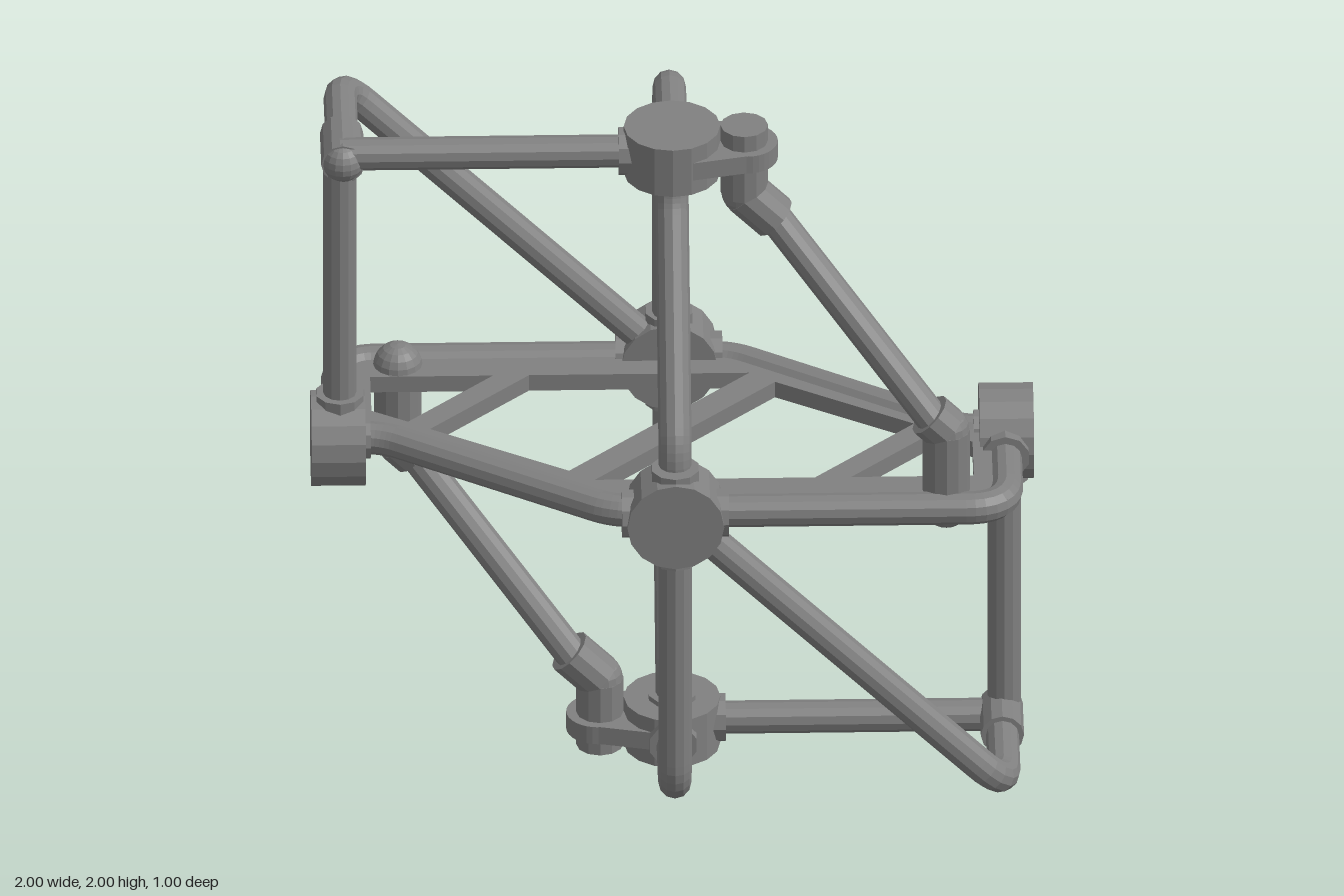
import * as THREE from 'three';

const mat = new THREE.MeshStandardMaterial({ color: 0x808080, flatShading: true });
const V = (x, y, z) => new THREE.Vector3(x, y, z);
const TUBE_R = 0.046;

// Polyline path whose inner corners are rounded off
function roundedPath(points, bend) {
  const path = new THREE.CurvePath();
  let start = points[0];
  for (let i = 1; i < points.length - 1; i++) {
    const p = points[i];
    const toward = (q) => p.clone().add(q.clone().sub(p).setLength(Math.min(bend, q.distanceTo(p) * 0.45)));
    const a = toward(points[i - 1]), b = toward(points[i + 1]);
    path.add(new THREE.LineCurve3(start, a));
    path.add(new THREE.QuadraticBezierCurve3(a, p, b));
    start = b;
  }
  path.add(new THREE.LineCurve3(start, points[points.length - 1]));
  return path;
}

export function createModel() {
  const root = new THREE.Group();
  root.name = 'model';
  const frame = new THREE.Group();
  frame.name = 'frame';
  frame.position.y = 1; // parts are laid out around the frame's centre
  root.add(frame);

  const add = (name, geometry) => {
    const mesh = new THREE.Mesh(geometry, mat);
    mesh.name = name;
    frame.add(mesh);
    return mesh;
  };
  // Straight cylinder between two points
  const rod = (name, a, b, r, sides = 12) => {
    const mesh = add(name, new THREE.CylinderGeometry(r, r, a.distanceTo(b), sides));
    mesh.position.copy(a).add(b).multiplyScalar(0.5);
    mesh.quaternion.setFromUnitVectors(V(0, 1, 0), b.clone().sub(a).normalize());
  };
  const ball = (name, p, r) => add(name, new THREE.SphereGeometry(r, 16, 10)).position.copy(p);
  const pipe = (name, points, bend = 0.09) =>
    add(name, new THREE.TubeGeometry(roundedPath(points, bend), points.length > 2 ? 56 : 1, TUBE_R, 12));

  // Everything exists twice, reflected through the centre
  for (const s of [1, -1]) {
    const P = (x, y, z) => V(s * x, s * y, s * z);

    // Hubs, with a socket wherever a tube arrives
    const hubs = [
      ['sideHub', P(1, 0, 0), 0.92, [P(0, -1, 0), P(0, 0, 1)]],
      ['endHub', P(0, 1, 0), 0.92, [P(-1, 0, 0), P(0, 0, -1)]],
      ['faceHub', P(0, 0, 1), 0.42, [P(1, 0, 0), P(-1, 0, 0), P(0, 1, 0), P(0, -1, 0)]],
    ];
    for (const [name, axis, d, arms] of hubs) {
      const c = axis.clone().multiplyScalar(d);
      rod(name, axis.clone().multiplyScalar(d - 0.07), axis.clone().multiplyScalar(d + 0.08), 0.134, 16);
      for (const arm of arms) rod(name + 'Socket', c, c.clone().addScaledVector(arm, 0.148), 0.068, 10);
    }
    rod('endHubCollar', P(0, 0.9, 0), P(0, 0.835, 0), 0.068, 10);
    rod('sideHubCollar', P(0.9, 0, 0), P(0.835, 0, 0), 0.06, 10);

    // Square-cornered tubes joining neighbouring hubs
    pipe('faceToSideTube', [P(0, 0, 0.41), P(0.92, 0, 0.41), P(0.92, 0, 0)], 0.11);
    pipe('faceToEndTube', [P(0, 0, 0.41), P(0, -0.92, 0.41), P(0, -0.92, 0)], 0.11);
    pipe('sidePost', [P(0.92, 0, 0), P(0.92, -0.92, 0)]);
    pipe('endRail', [P(0.92, -0.92, 0), P(0, -0.92, 0)]);

    // Slanted tubes
    pipe('faceToEndBrace', [P(0, 0.95, 0), P(0, 0.78, 0), P(0, 0.19, 0.405), P(0, 0, 0.405)], 0.05);
    pipe('faceToSideBrace', [P(0, 0, 0.405), P(-0.17, 0, 0.405), P(-0.8, 0, 0.0), P(-0.95, 0, 0)], 0.06);

    // Outer corner: sleeve, elbow and long diagonal to the face hub
    rod('cornerSleeve', P(0.912, -0.903, -0.03), P(0.912, -0.903, 0.14), 0.06);
    ball('cornerBall', P(0.912, -0.903, -0.01), 0.058);
    pipe('longDiagonal', [P(0.912, -0.903, 0), P(0.912, -0.903, 0.405), P(0, 0, 0.405)], 0.09);

    // Offset arm: both elbows turn 45 degrees in upright planes, the slanted tube links them
    const upper = P(0.2, 0.785, 0), upperEnd = P(0.285, 0.7, 0);
    const lower = P(0.752, 0.22, 0.35), lowerEnd = P(0.705, 0.267, 0.35);
    const foot = P(0.752, -0.02, 0.35);
    rod('armPin', P(0.2, 1, 0), upper, 0.066);
    ball('armUpperElbow', upper, 0.064);
    rod('armUpperSleeve', upper, upperEnd, 0.066);
    rod('armTube', upperEnd.clone().lerp(lowerEnd, -0.04), upperEnd.clone().lerp(lowerEnd, 1.04), TUBE_R);
    rod('armLowerSleeve', lowerEnd, lower, 0.066);
    ball('armLowerElbow', lower, 0.064);
    rod('armFoot', lower, foot, 0.066);
    ball('armBall', foot, 0.069);

    // Tapered bracket holding the arm on the end hub
    const bracket = new THREE.Shape();
    bracket.moveTo(0, -0.134);
    bracket.lineTo(0.21, -0.085);
    bracket.absarc(0.205, 0, 0.088, -Math.PI / 2, Math.PI / 2, false);
    bracket.lineTo(0, 0.134);
    bracket.closePath();
    const bracketGeo = new THREE.ExtrudeGeometry(bracket, { depth: 0.055, bevelEnabled: false, curveSegments: 8 });
    bracketGeo.rotateX(-Math.PI / 2).translate(0, 0.895, 0);
    if (s < 0) bracketGeo.rotateZ(Math.PI);
    add('armBracket', bracketGeo);
  }

  // Mid-height plate with slanted openings (shape y is model z)
  const polygon = (pts, Type) => new Type(pts.map(([x, y]) => new THREE.Vector2(x, y)));
  const half = [[-0.92, -0.41], [0.16, -0.41], [0.82, 0], [0.92, 0]];
  const opposite = (pts) => pts.map(([x, z]) => [-x, -z]);
  const plate = polygon([...half, ...opposite(half)], THREE.Shape);
  const openings = [
    [[-0.83, -0.28], [-0.49, -0.28], [-0.73, -0.04], [-0.83, -0.1]],
    [[-0.39, -0.28], [0.22, -0.28], [-0.29, 0.23], [-0.67, 0]],
  ];
  for (const o of openings) {
    plate.holes.push(polygon(o, THREE.Path), polygon(opposite(o), THREE.Path));
  }
  const plateGeo = new THREE.ExtrudeGeometry(plate, { depth: 0.05, bevelEnabled: false });
  plateGeo.rotateX(Math.PI / 2).translate(0, 0.025, 0);
  add('midPlate', plateGeo);

  return root;
}
